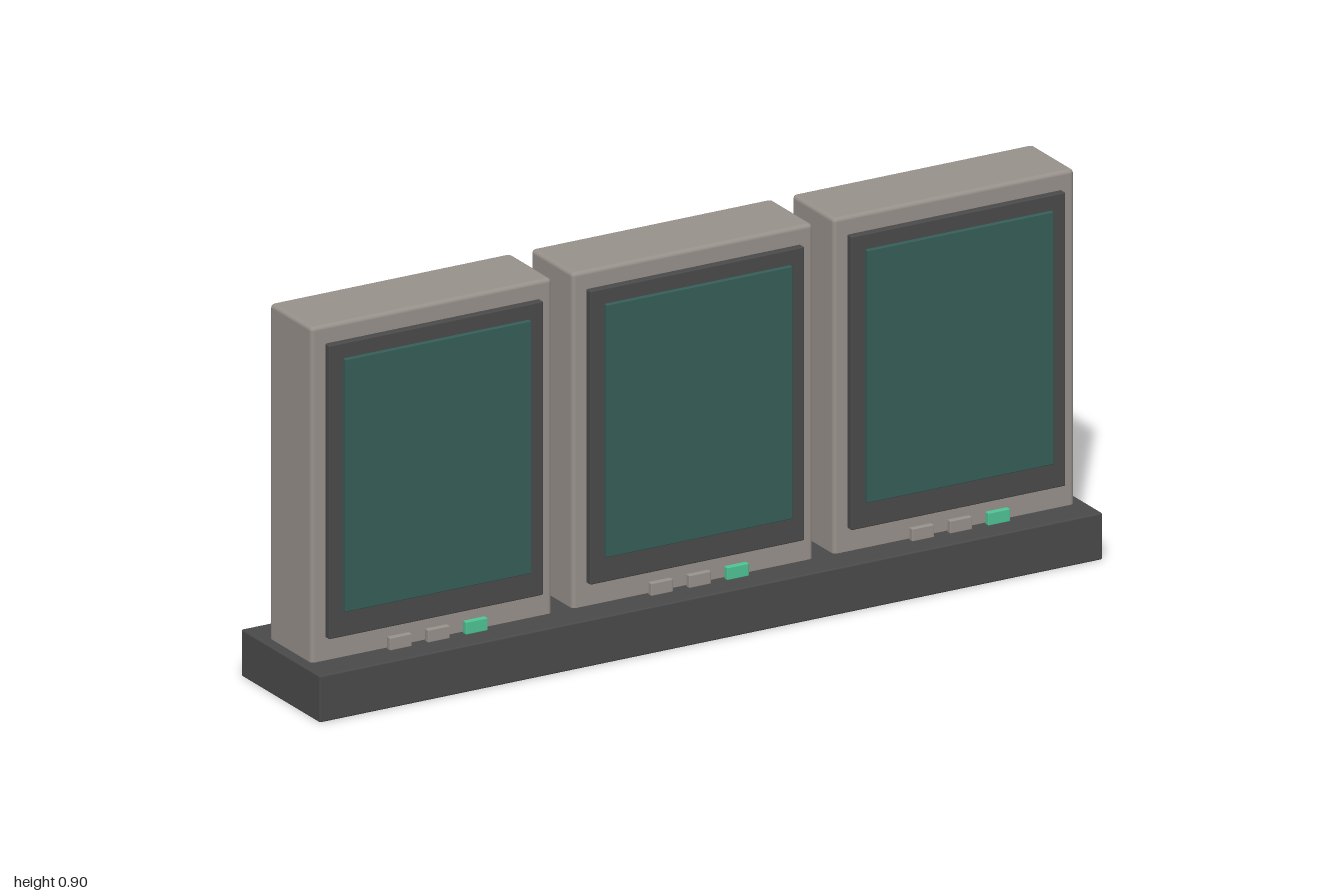
import * as THREE from 'three';
import { RoundedBoxGeometry } from 'three/addons/geometries/RoundedBoxGeometry.js';

const paint = (name, color) => {
  const m = new THREE.MeshStandardMaterial({ color });
  m.name = name;
  return m;
};

export function createModel() {
  const casing = paint('warm grey casing', 0x98918b);
  const dark = paint('charcoal', 0x4a4a4a);
  const glass = paint('dark teal glass', 0x355e58);
  const green = paint('green button', 0x4fc394);

  // Softly rounded block given by its centre x, and its y and z extents
  const block = (name, material, x, width, [y0, y1], [z0, z1], radius) => {
    const geometry = new RoundedBoxGeometry(width, y1 - y0, z1 - z0, 2, radius);
    const mesh = new THREE.Mesh(geometry, material);
    mesh.position.set(x, (y0 + y1) / 2, (z0 + z1) / 2);
    mesh.name = name;
    return mesh;
  };

  const model = new THREE.Group();
  model.name = 'tripleMonitorBank';
  model.add(block('base', dark, 0, 2, [0, 0.11], [-0.17, 0.17], 0.004));

  // Three identical display units in a row
  for (const x of [-0.667, 0, 0.667]) {
    const unit = new THREE.Group();
    unit.name = 'displayUnit';
    unit.position.x = x;
    unit.add(
      block('casing', casing, 0, 0.615, [0.098, 0.898], [-0.091, 0.091], 0.01),
      block('bezel', dark, 0, 0.547, [0.165, 0.856], [0.091, 0.11], 0.003),
      block('screen', glass, 0, 0.475, [0.226, 0.82], [0.106, 0.12], 0.002),
    );
    // Row of three buttons, the one on the model's left is lit green
    for (const i of [-1, 0, 1]) {
      unit.add(block('button', i === 1 ? green : casing, i * 0.097, 0.056,
        [0.114, 0.144], [0.108, 0.122], 0.002));
    }
    model.add(unit);
  }
  return model;
}
